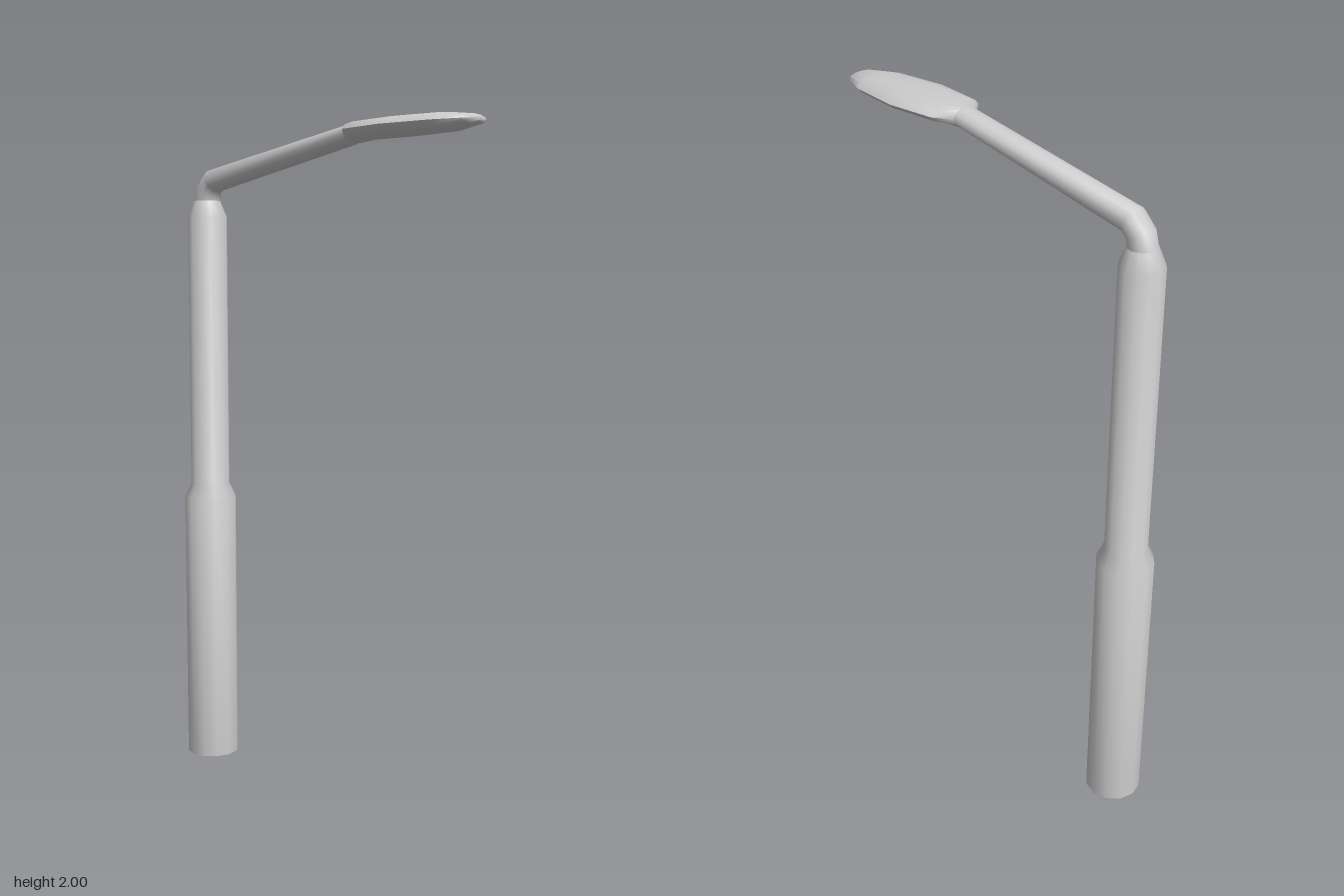
import * as THREE from 'three';
import { toCreasedNormals } from 'three/addons/utils/BufferGeometryUtils.js';

const SIDES = 12;

// Skin through elliptical rings [x, y, tilt, halfHeight, halfWidth], closed at both ends
function loft(rings) {
  const pos = [], idx = [];
  for (const [x, y, tilt, h, w] of rings) {
    for (let i = 0; i < SIDES; i++) {
      const a = (i / SIDES) * Math.PI * 2;
      const up = Math.cos(a) * h;
      pos.push(x - Math.sin(tilt) * up, y + Math.cos(tilt) * up, Math.sin(a) * w);
    }
  }
  for (let r = 0; r < rings.length - 1; r++) {
    for (let i = 0; i < SIDES; i++) {
      const j = (i + 1) % SIDES;
      const a = r * SIDES + i, b = r * SIDES + j;
      const c = a + SIDES, d = b + SIDES;
      idx.push(a, b, c, b, d, c);
    }
  }
  // end caps
  const last = (rings.length - 1) * SIDES;
  for (let i = 1; i < SIDES - 1; i++) {
    idx.push(0, i + 1, i, last, last + i, last + i + 1);
  }
  const geo = new THREE.BufferGeometry();
  geo.setAttribute('position', new THREE.Float32BufferAttribute(pos, 3));
  geo.setIndex(idx);
  return toCreasedNormals(geo, 1.1);
}

export function createModel() {
  const group = new THREE.Group();
  const material = new THREE.MeshStandardMaterial({ color: 0xcccccc });
  const add = (name, geometry) => {
    const mesh = new THREE.Mesh(geometry, material);
    mesh.name = name;
    group.add(mesh);
    return mesh;
  };

  // Stepped pole: thick base, slim shaft, tapered neck
  const profile = [
    [0, 0], [0.083, 0], [0.083, 0.855], [0.062, 0.9],
    [0.062, 1.75], [0.041, 1.8], [0, 1.8],
  ].map(([r, y]) => new THREE.Vector2(r, y));
  const pole = add('pole', toCreasedNormals(new THREE.LatheGeometry(profile, SIDES), 0.8));
  pole.position.x = -0.52;

  // Bent arm: elbow rings, then a long gentle rise to the head
  add('arm', loft([
    [-0.52, 1.795, Math.PI / 2, 0.041, 0.041],
    [-0.511, 1.832, 1.15, 0.038, 0.041],
    [-0.481, 1.86, 0.45, 0.038, 0.041],
    [0.14, 1.965, 0.1, 0.029, 0.04],
  ]));

  // Flat, leaf-shaped lamp head
  add('lampHead', loft([
    [0.135, 1.964, 0.1, 0.029, 0.04],
    [0.175, 1.971, 0, 0.026, 0.084],
    [0.33, 1.973, 0, 0.027, 0.102],
    [0.495, 1.974, 0, 0.025, 0.082],
    [0.58, 1.975, 0, 0.014, 0.048],
    [0.6, 1.975, 0, 0.006, 0.008],
  ]));

  return group;
}
